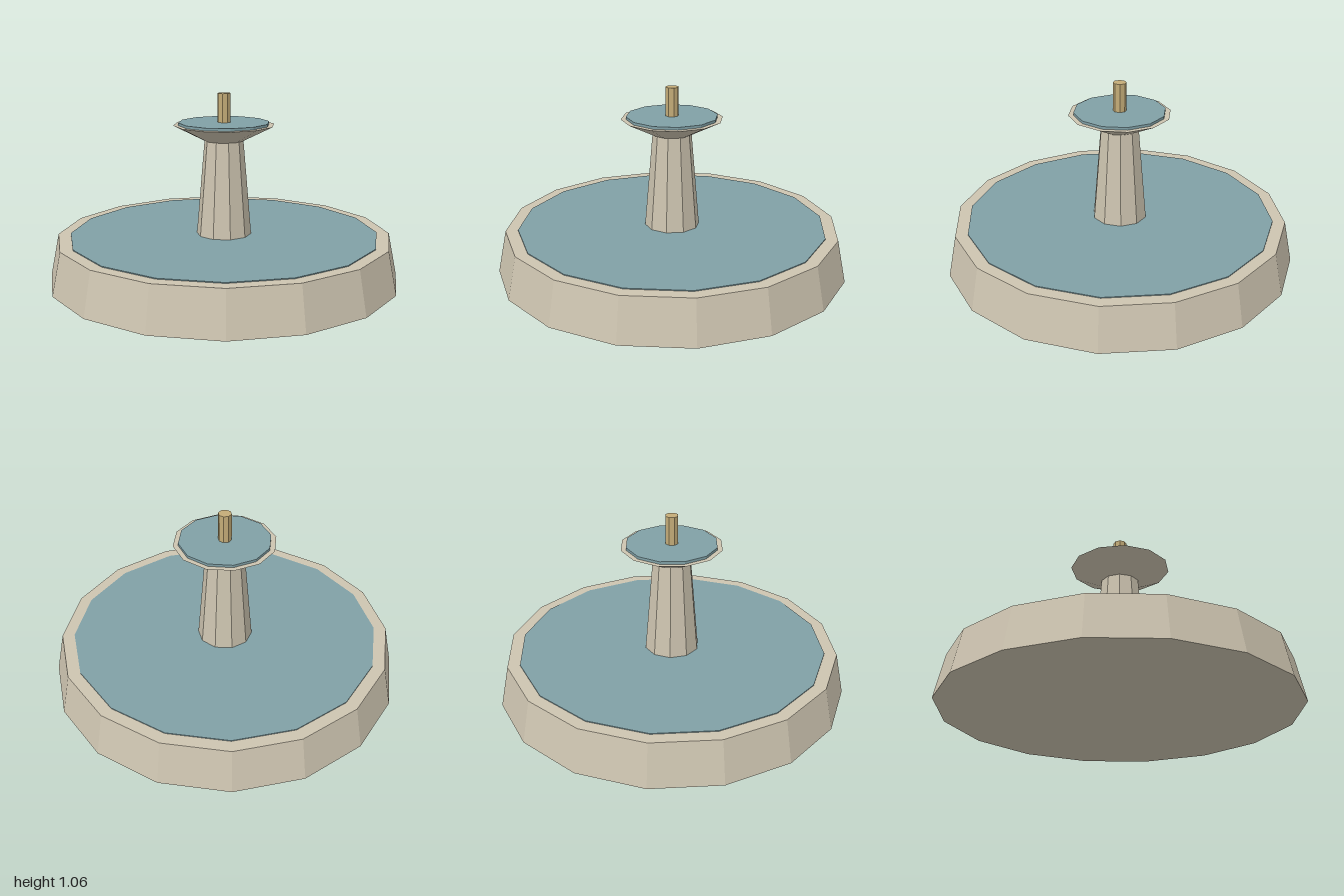
import * as THREE from 'three';

const flat = (name, color) => {
  const m = new THREE.MeshStandardMaterial({ color, flatShading: true });
  m.name = name;
  return m;
};

export function createModel() {
  const stone = flat('stone', 0xcdc4b0);
  const water = flat('water', 0x80a0a6);
  const brass = flat('brass', 0xc4ac78);

  const fountain = new THREE.Group();
  fountain.name = 'fountain';

  // Faceted tapered drum between two heights, turned by an angle in degrees
  const drum = (name, material, sides, turn, rBottom, rTop, y0, y1) => {
    const geometry = new THREE.CylinderGeometry(rTop, rBottom, y1 - y0, sides);
    const mesh = new THREE.Mesh(geometry, material);
    mesh.name = name;
    mesh.position.y = (y0 + y1) / 2;
    mesh.rotation.y = THREE.MathUtils.degToRad(turn);
    fountain.add(mesh);
  };

  // Lower basin with its pool just proud of the rim
  drum('basin', stone, 16, -7.5, 1.0086, 0.958, 0, 0.245);
  drum('basinWater', water, 16, -7.5, 0.887, 0.887, 0.22, 0.25);

  // Tapered column
  drum('pedestal', stone, 10, -3.7, 0.158, 0.11, 0.24, 0.8);

  // Upper bowl and its water
  drum('upperBowl', stone, 12, 15, 0.112, 0.288, 0.793, 0.882);
  drum('upperWater', water, 12, 15, 0.259, 0.259, 0.872, 0.897);

  // Spout
  drum('spout', brass, 8, 22.5, 0.038, 0.038, 0.88, 1.06);

  return fountain;
}
